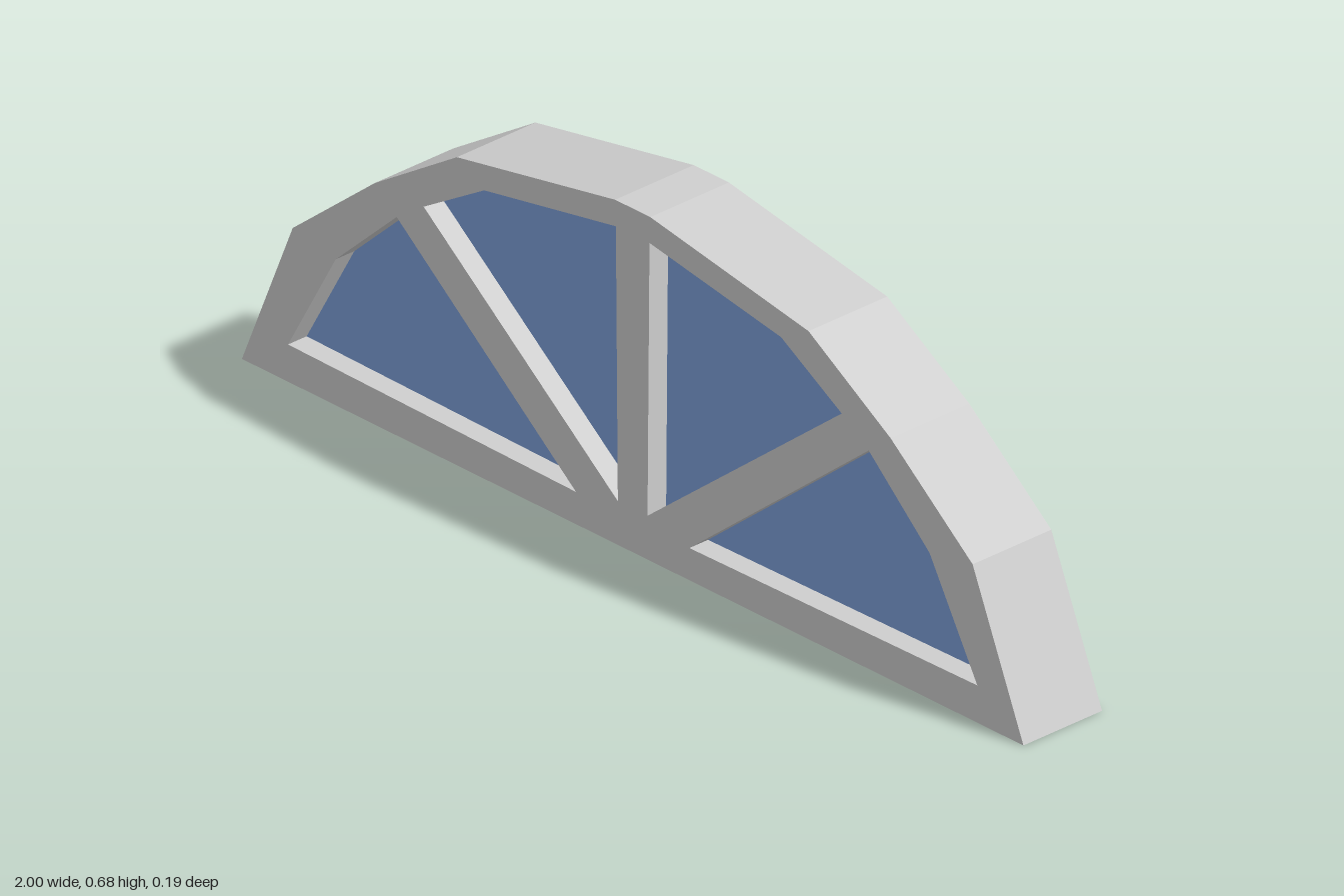
import * as THREE from 'three';

const FRONT = 0.095, BACK = -0.095, PANE = 0.05, CAP = 0.005;

const grey = new THREE.MeshStandardMaterial({ color: 0xcfcfcf, side: THREE.DoubleSide, flatShading: true });
grey.name = 'frameGrey';
const blue = new THREE.MeshStandardMaterial({ color: 0x7fa2dc, side: THREE.DoubleSide, flatShading: true });
blue.name = 'glassBlue';

const toPoints = (list) => list.map(([x, y]) => new THREE.Vector2(x, y));
const mirror = (list) => list.map(([x, y]) => [-x, y]).reverse();

// Right half of the arch, counter-clockwise, then mirrored
const half = [[1, 0], [0.87, 0.31], [0.66, 0.48], [0.45, 0.612], [0.045, 0.683]];
const outline = [...half, ...mirror(half)];

// Openings on one side, counter-clockwise
const upper = [[0.038, 0.087], [0.535, 0.481], [0.38, 0.573], [0.043, 0.631]];
const lower = [[0.145, 0.064], [0.882, 0.074], [0.76, 0.29], [0.604, 0.434]];

// Band of flat quads following a closed outline from z0 back to z1
function band(list, z0, z1) {
  const pos = [];
  list.forEach(([px, py], i) => {
    const [qx, qy] = list[(i + 1) % list.length];
    pos.push(px, py, z0, px, py, z1, qx, qy, z1);
    pos.push(px, py, z0, qx, qy, z1, qx, qy, z0);
  });
  const g = new THREE.BufferGeometry();
  g.setAttribute('position', new THREE.Float32BufferAttribute(pos, 3));
  g.computeVertexNormals();
  return g;
}

function sheet(list, z, holes = []) {
  const shape = new THREE.Shape(toPoints(list));
  holes.forEach((h) => shape.holes.push(new THREE.Path(toPoints(h))));
  return new THREE.ShapeGeometry(shape).translate(0, 0, z);
}

export function createModel() {
  const root = new THREE.Group();
  root.name = 'archedWindow';
  const add = (parent, name, geometry, material) => {
    const mesh = new THREE.Mesh(geometry, material);
    mesh.name = name;
    parent.add(mesh);
  };
  const windows = {
    leftUpper: upper, leftLower: lower,
    rightUpper: mirror(upper), rightLower: mirror(lower),
  };

  // Front face with its spokes, and the outer shell that is open at the back
  add(root, 'frontFrame', sheet(outline, FRONT, Object.values(windows)), grey);
  add(root, 'outerShell', band(outline, FRONT, BACK), grey);

  // Each opening: deep reveal, recessed glass, plain back panel
  for (const [name, list] of Object.entries(windows)) {
    const group = new THREE.Group();
    group.name = name + 'Window';
    add(group, 'reveal', band(list, FRONT, CAP), grey);
    add(group, 'glass', sheet(list, PANE), blue);
    const back = sheet(list, -CAP).rotateY(Math.PI).scale(-1, 1, 1);
    const idx = back.index.array;
    for (let i = 0; i < idx.length; i += 3) [idx[i], idx[i + 1]] = [idx[i + 1], idx[i]];
    back.computeVertexNormals();
    add(group, 'backPanel', back, grey);
    root.add(group);
  }
  return root;
}
